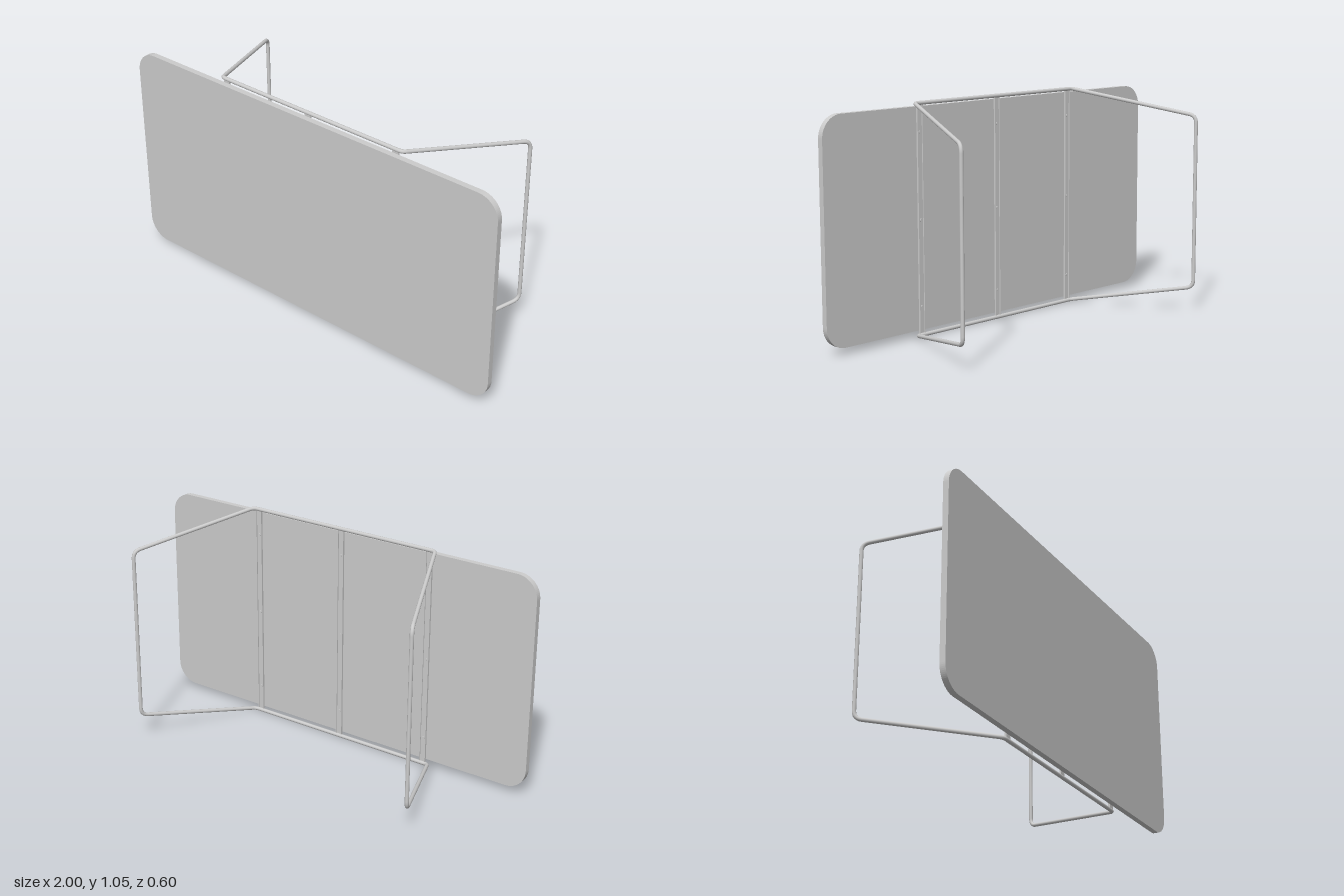
import * as THREE from 'three';

const material = new THREE.MeshStandardMaterial({ color: 0xcccccc });
const MID_Y = 0.527;

function addMesh(parent, name, geometry, x = 0, y = 0, z = 0) {
  const mesh = new THREE.Mesh(geometry, material);
  mesh.name = name;
  mesh.position.set(x, y, z);
  parent.add(mesh);
  return mesh;
}

// Closed loop of straight runs and rounded bends, sampled evenly per piece
class BentLoop extends THREE.Curve {
  constructor(corners, trims) {
    super();
    this.pieces = [];
    const n = corners.length;
    const toward = (i, j) => {
      const dir = corners[j].clone().sub(corners[i]).normalize();
      return corners[i].clone().addScaledVector(dir, trims[i]);
    };
    for (let i = 0; i < n; i++) {
      const prev = (i + n - 1) % n, next = (i + 1) % n;
      this.pieces.push(new THREE.QuadraticBezierCurve3(toward(i, prev), corners[i], toward(i, next)));
      this.pieces.push(new THREE.LineCurve3(toward(i, next), toward(next, i)));
    }
  }
  locate(u) {
    const t = u * this.pieces.length;
    const i = Math.min(Math.floor(t + 1e-9), this.pieces.length - 1);
    return [this.pieces[i], Math.min(Math.max(t - i, 0), 1)];
  }
  getPoint(u, target = new THREE.Vector3()) {
    const [piece, t] = this.locate(u);
    return piece.getPoint(t, target);
  }
  getPointAt(u, target) { return this.getPoint(u, target); }
  getTangentAt(u, target = new THREE.Vector3()) {
    const [piece, t] = this.locate(u);
    return piece.getTangent(t, target);
  }
}

function roundedRect(w, h, r) {
  const s = new THREE.Shape();
  const x = w / 2, y = h / 2;
  s.absarc(x - r, y - r, r, 0, Math.PI / 2);
  s.absarc(-x + r, y - r, r, Math.PI / 2, Math.PI);
  s.absarc(-x + r, -y + r, r, Math.PI, Math.PI * 1.5);
  s.absarc(x - r, -y + r, r, Math.PI * 1.5, Math.PI * 2);
  s.closePath();
  return s;
}

export function createModel() {
  const group = new THREE.Group();
  group.name = 'foldingTableOnItsSide';

  // Table top, standing on its long edge
  const top = new THREE.ExtrudeGeometry(roundedRect(2, 1, 0.1), {
    depth: 0.027, bevelEnabled: false, curveSegments: 10,
  });
  addMesh(group, 'tableTop', top, 0, MID_Y + 0.003, 0.275);

  // One continuous bent tube: long rails, splayed legs and foot bars
  const half = [
    [0.5, 0.518, 0.268, 0.02],
    [0.75, 0.41, -0.293, 0.035],
    [0.75, -0.41, -0.293, 0.035],
    [0.5, -0.518, 0.268, 0.02],
  ];
  const mirrored = half.map(([x, y, z, r]) => [-x, y, z, r]).reverse();
  const loop = [...half, ...mirrored];
  const path = new BentLoop(
    loop.map(([x, y, z]) => new THREE.Vector3(x, y + MID_Y, z)),
    loop.map((c) => c[3]),
  );
  addMesh(group, 'legFrame', new THREE.TubeGeometry(path, loop.length * 2 * 6, 0.009, 12, true));

  // Shallow channel cross rails, each held by three screws
  for (const x of [-0.47, 0, 0.47]) {
    const rail = new THREE.Group();
    rail.name = 'crossRail';
    rail.position.set(x, MID_Y, 0);
    group.add(rail);
    addMesh(rail, 'railWeb', new THREE.BoxGeometry(0.032, 1.03, 0.004), 0, 0, 0.273);
    for (const side of [-1, 1]) {
      addMesh(rail, 'railLip', new THREE.BoxGeometry(0.004, 1.03, 0.009), side * 0.014, 0, 0.2705);
    }
    for (const y of [-0.39, 0, 0.39]) {
      const screw = new THREE.CylinderGeometry(0.007, 0.007, 0.004, 16).rotateX(Math.PI / 2);
      addMesh(rail, 'screw', screw, 0, y, 0.27);
    }
  }
  return group;
}
